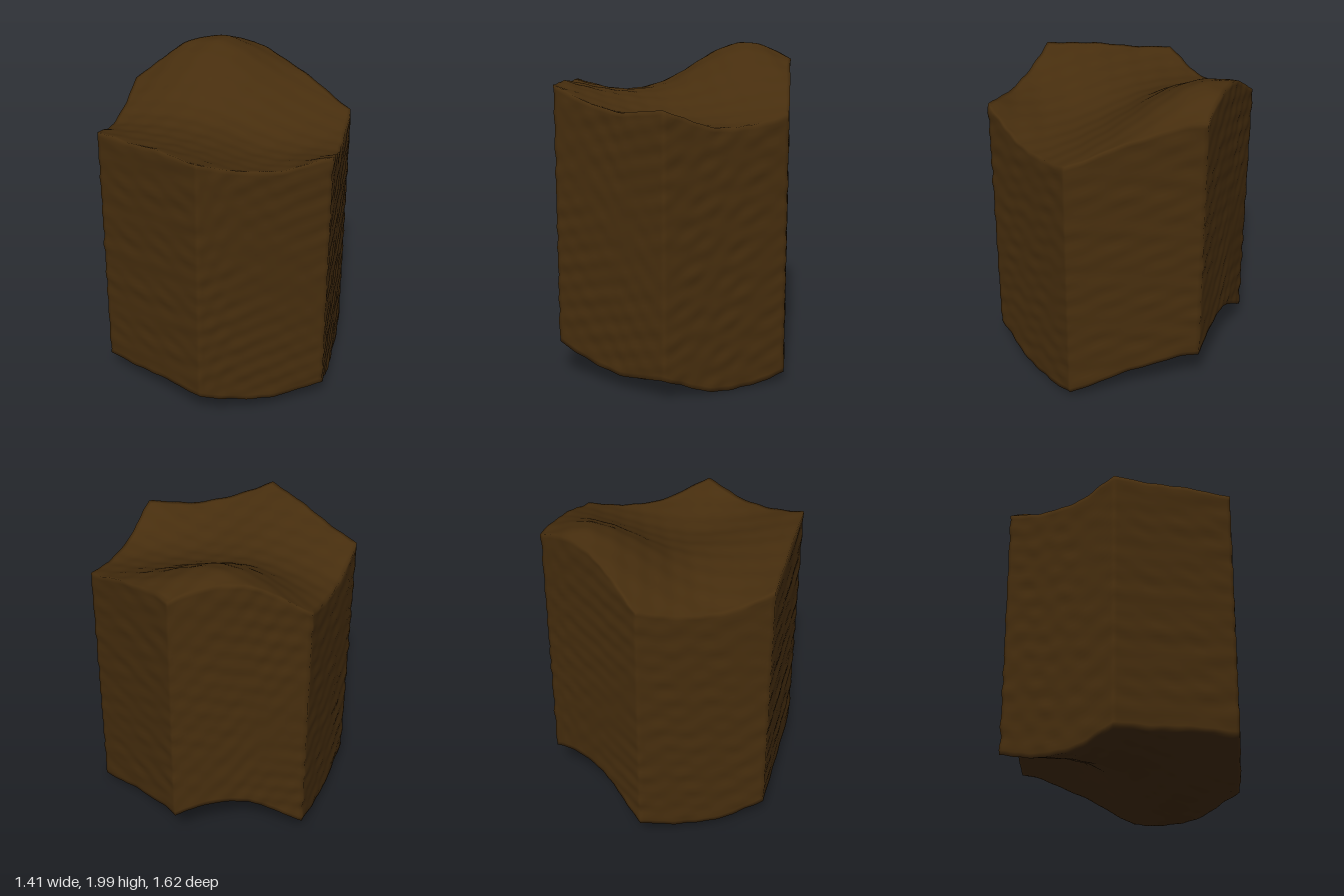
import * as THREE from 'three';
import { mergeGeometries, mergeVertices } from 'three/addons/utils/BufferGeometryUtils.js';

const RADIUS = 0.805;
const THICKNESS = 1.61;

// Top heights around the rim, three per side, counterclockwise from the front corner
const RIM = [1.82, 1.74, 1.71, 1.745, 1.64, 1.62, 1.67, 1.77, 1.855,
  1.90, 1.98, 1.925, 1.75, 1.68, 1.67, 1.75, 1.775, 1.81];

// Top heights inside the rim: x, z, height
const INNER = [
  [-0.4, 0.2, 1.71], [-0.15, 0.25, 1.71], [0, 0.25, 1.69], [0.2, 0.2, 1.64],
  [0.4, 0.1, 1.62], [0.3, 0.4, 1.665], [0, -0.1, 1.735], [-0.3, -0.1, 1.76],
  [-0.2, -0.2, 1.83], [-0.15, -0.4, 1.94], [-0.15, -0.58, 1.995], [0, -0.55, 1.95],
  [0.3, -0.3, 1.74],
];

// Point on the hexagon outline, u in 0..6
function outline(u) {
  const i = Math.floor(u), t = u - i;
  const a = (i * Math.PI) / 3, b = ((i + 1) * Math.PI) / 3;
  return [
    RADIUS * (Math.sin(a) * (1 - t) + Math.sin(b) * t),
    RADIUS * (Math.cos(a) * (1 - t) + Math.cos(b) * t),
  ];
}

// Gaussian elimination with pivoting; each row ends with its right-hand side
function solve(rows) {
  const n = rows.length;
  for (let c = 0; c < n; c++) {
    let p = c;
    for (let r = c + 1; r < n; r++) if (Math.abs(rows[r][c]) > Math.abs(rows[p][c])) p = r;
    [rows[c], rows[p]] = [rows[p], rows[c]];
    for (let r = 0; r < n; r++) {
      if (r === c) continue;
      const f = rows[r][c] / rows[c][c];
      for (let k = c; k <= n; k++) rows[r][k] -= f * rows[c][k];
    }
  }
  return rows.map((row, i) => row[n] / row[i]);
}

// Smooth sheet (thin-plate spline) through all control points
function makeSheet(points) {
  const kernel = (dx, dz) => {
    const d = dx * dx + dz * dz;
    return d > 0 ? d * Math.log(d) : 0;
  };
  const rows = points.map(([x, z, h]) => [
    ...points.map(([px, pz]) => kernel(x - px, z - pz)), 1, x, z, h]);
  for (const pick of [() => 1, (p) => p[0], (p) => p[1]]) {
    rows.push([...points.map(pick), 0, 0, 0, 0]);
  }
  const w = solve(rows), n = points.length;
  return (x, z) => points.reduce((sum, [px, pz], i) => sum + w[i] * kernel(x - px, z - pz),
    w[n] + w[n + 1] * x + w[n + 2] * z);
}

// Gentle hewn roughness that keeps neighbouring faces joined
function roughen(x, y, z) {
  const n = Math.sin(31 * y + 6 * Math.sin(5 * x - 4 * z)) * Math.sin(14 * x - 19 * z + 3 * y)
    + Math.sin(47 * y + 21 * x + 5 * z) * Math.sin(26 * z - 17 * x + 9 * y + 1)
    + 0.6 * Math.sin(52 * y - 13 * x + 11 * z);
  const k = 1 + 0.0035 * n;
  const dy = 0.004 * Math.sin(12 * x + 33 * z) * Math.sin(21 * x - 15 * z + 1);
  return [x * k, y + dy, z * k];
}

// Grid surface facing u cross v
function grid(nu, nv, point) {
  const pos = [], index = [];
  for (let j = 0; j <= nv; j++) {
    for (let i = 0; i <= nu; i++) pos.push(...roughen(...point(((i / nu) * 6) % 6, j / nv)));
  }
  for (let j = 0; j < nv; j++) {
    for (let i = 0; i < nu; i++) {
      const a = j * (nu + 1) + i, d = a + nu + 1;
      index.push(a, a + 1, d + 1, a, d + 1, d);
    }
  }
  const g = new THREE.BufferGeometry();
  g.setAttribute('position', new THREE.Float32BufferAttribute(pos, 3));
  g.setIndex(index);
  return g;
}

export function createModel() {
  const group = new THREE.Group();
  group.name = 'hexagonalColumn';
  const brown = new THREE.MeshStandardMaterial({ color: 0x472e0e });
  brown.name = 'darkBrown';

  const height = makeSheet([...RIM.map((h, i) => [...outline(i / 3), h]), ...INNER]);
  const capPoint = (u, r, drop) => {
    const [x, z] = outline(u).map((c) => c * r);
    return [x, height(x, z) - drop, z];
  };

  // Side walls, then matching wavy top and bottom surfaces
  const walls = grid(192, 56, (u, v) => capPoint(u, 1, THICKNESS * (1 - v)));
  const top = grid(192, 32, (u, v) => capPoint(u, 1 - v, 0));
  const bottom = grid(192, 32, (u, v) => capPoint(u, v, THICKNESS));

  // Joined into one skin so the edges are softly worn
  const skin = mergeVertices(mergeGeometries([walls, top, bottom]), 1e-5);
  skin.computeVertexNormals();
  const column = new THREE.Mesh(skin, brown);
  column.name = 'columnBody';
  group.add(column);
  return group;
}
